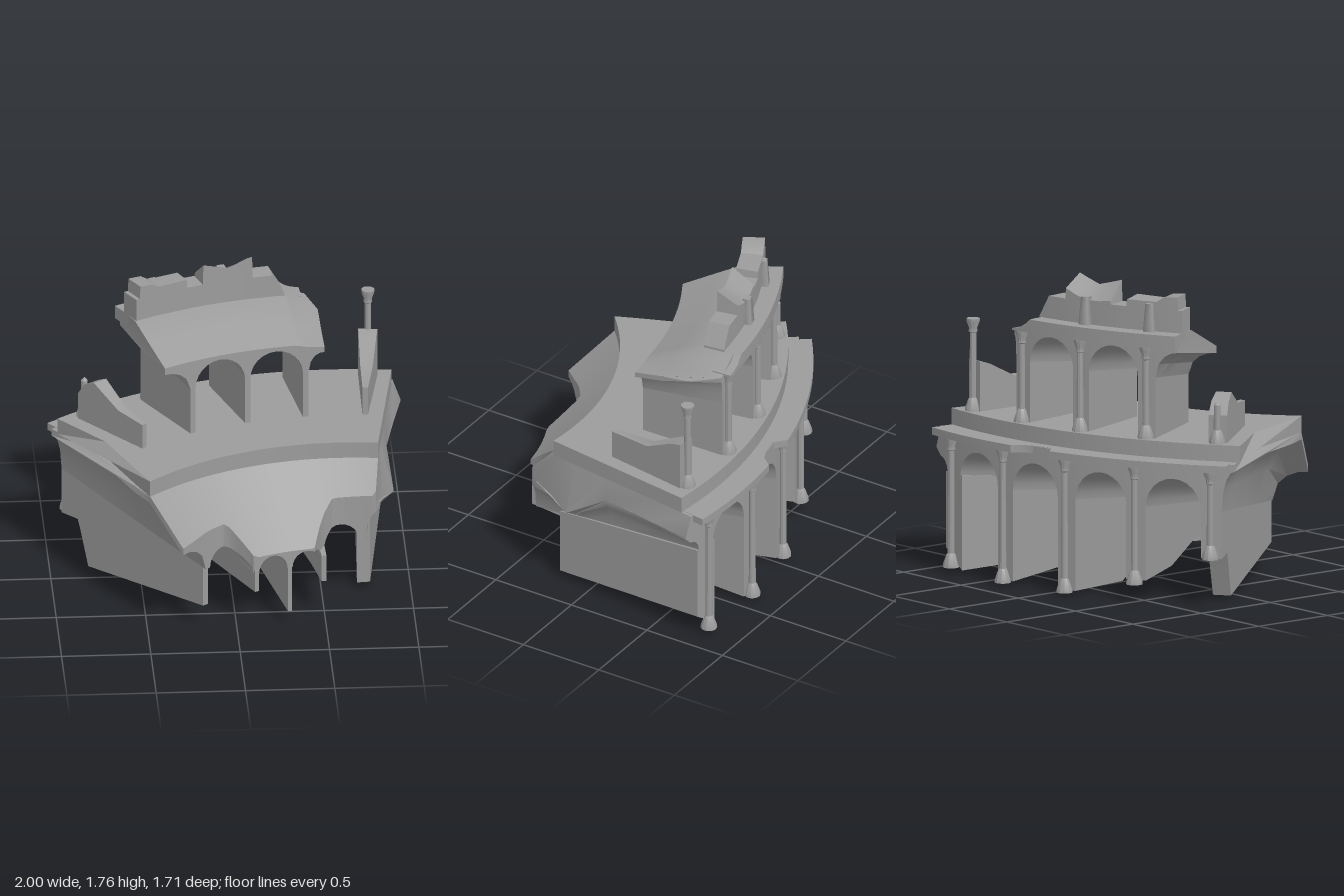
import * as THREE from 'three';
import { toCreasedNormals } from 'three/addons/utils/BufferGeometryUtils.js';

const mat = new THREE.MeshStandardMaterial({ color: 0x9c9c9c, side: THREE.DoubleSide });
const lerp = THREE.MathUtils.lerp;
const DEG = Math.PI / 180;

// Polar layout of the ring: angle in degrees, radius, height
const polar = (a, r, y) => new THREE.Vector3(0.6 - r * Math.sin(a * DEG), y, 1.78 - r * Math.cos(a * DEG));

// Piecewise linear lookup in [[key, value], ...] with rising keys
function table(rows, k) {
  if (k <= rows[0][0]) return rows[0][1];
  for (let i = 1; i < rows.length; i++) {
    const [k0, v0] = rows[i - 1], [k1, v1] = rows[i];
    if (k <= k1) return lerp(v0, v1, (k - k0) / (k1 - k0));
  }
  return rows[rows.length - 1][1];
}

// Solid lofted through outlines of [angle, y, radius]; project flattens an outline for the caps
function loft(name, sections, project) {
  const flat = s => s.map(project);
  if (THREE.ShapeUtils.isClockWise(flat(sections[0]))) sections.forEach(s => s.reverse());
  const rings = sections.map(s => s.map(([a, y, r]) => polar(a, r, y)));
  const pos = [];
  const tri = (...v) => v.forEach(p => pos.push(p.x, p.y, p.z));
  const n = rings[0].length, last = rings.length - 1;
  for (let k = 0; k < last; k++) {
    for (let i = 0; i < n; i++) {
      const j = (i + 1) % n, A = rings[k], B = rings[k + 1];
      tri(A[i], A[j], B[j]);
      tri(A[i], B[j], B[i]);
    }
  }
  const cap = k => THREE.ShapeUtils.triangulateShape(flat(sections[k]), []);
  cap(0).forEach(([a, b, c]) => tri(rings[0][a], rings[0][c], rings[0][b]));
  cap(last).forEach(([a, b, c]) => tri(rings[last][a], rings[last][b], rings[last][c]));
  const geo = new THREE.BufferGeometry();
  geo.setAttribute('position', new THREE.Float32BufferAttribute(pos, 3));
  const mesh = new THREE.Mesh(toCreasedNormals(geo, 0.5), mat);
  mesh.name = name;
  return mesh;
}

// Shell swept around the ring: each column gives its angle, top and bottom along the radii
function shell(name, columns, radii, rAt = (a, k) => radii[k]) {
  const sections = columns.map(col => {
    const top = [], bottom = [];
    radii.forEach((radius, k) => {
      const a = col.a(radius), r = rAt(a, k);
      top.push([a, col.top(a, r), r]);
      bottom.unshift([a, col.bottom(a, r), r]);
    });
    return [...top, ...bottom];
  });
  return loft(name, sections, p => new THREE.Vector2(p[1], p[2]));
}

// Evenly spaced columns between two edges
const band = (n, right, left, top, bottom) => Array.from({ length: n + 1 }, (_, i) => ({
  a: r => lerp(right(r), left(r), i / n), top, bottom: () => bottom }));

// Columns of a row of round vaults between piers, listed from left to right
function vaults(piers, halfWidth, spring, apex, top) {
  const cols = [];
  for (let i = piers.length - 1; i > 0; i--) {
    const mid = (piers[i] + piers[i - 1]) / 2;
    for (let s = 0; s <= 12; s++) {
      const t = s / 12 * Math.PI;
      cols.push({ a: r => mid - (5 - halfWidth(r)) * Math.cos(t), top,
        bottom: (a, r) => lerp(spring(r), apex(r), Math.sin(t)) });
    }
  }
  return cols;
}

// Broken springing of the next vault, from the pier side (0) to the torn edge (1)
const springing = (pierEdge, tornEdge, spring, edgeY, top) => [0, 0.15, 0.4, 0.7, 1].map(t => ({
  a: r => lerp(pierEdge(r), tornEdge(r), t), top,
  bottom: (a, r) => lerp(spring(r), edgeY(a, r), Math.sqrt(1 - (1 - t) ** 2)) }));

// Radial wall; rows are [radius, foot height], lift raises the foot on one side
const radialWall = (name, a, rows, halfWidth, top, lift = 0) => loft(name, rows.map(([r, y]) => {
  const w = halfWidth(r);
  return [[a - w, y + lift * (r - 1.5), r], [a - w, top(r), r], [a + w, top(r), r], [a + w, y, r]];
}), p => new THREE.Vector2(p[0], p[1]));

// Lower storey: sloping broken seating over radial vaults
function lowerStorey(g) {
  const rim = [[-10, 1.5], [-7.5, 1.39], [2, 1.38], [4.8, 1.3], [8, 1.16], [25.5, 1.16], [29.4, 1.34], [35, 1.33], [40, 1.31], [44.4, 1.3]];
  const rightTip = [[1.3, -7.8], [1.56, -9], [1.72, -10.5], [1.95, -8.2], [2.57, -9]];
  const rightTipY = [[1.4, 0.6], [1.72, 0.54], [1.95, 0.68], [2.57, 0.69]];
  const leftEdge = [[1.3, 44.4], [1.56, 44], [1.72, 42.5], [1.95, 40], [2.3, 38], [2.57, 38]];
  const radii = [1.3, 1.56, 1.72, 1.95, 2.3, 2.57];
  const rAt = (a, k) => k ? radii[k] : table(rim, a);
  const hw = r => (0.012 + (r - 1.16) * 0.034) / r / DEG;
  const spring = r => lerp(0.35, 0.54, (r - 1.16) / 1.4);
  const apex = r => lerp(0.44, 0.71, (r - 1.16) / 1.4);
  const top = (a, r) => 0.81 - Math.max(0, 1.56 - r) * 0.9;
  const tipY = (a, r) => table(rightTipY, r);
  g.add(shell('lowerVaults', [
    { a: r => table(rightTip, r), top: tipY, bottom: (a, r) => tipY(a, r) - 0.01 },
    ...springing(r => -5 - hw(r), () => -8, spring, (a, r) => tipY(a, r) - 0.05, top).reverse(),
    ...vaults([35, 25, 15, 5, -5], hw, spring, apex, top),
    ...springing(r => 35 + hw(r), r => table(leftEdge, r), spring, (a, r) => top(a, r) - 0.04, top),
  ], radii, rAt));
  const feet = [
    [35, [[1.35, 0.14], [2.34, 0.02], [2.4, 0.2], [2.43, 0.28], [2.57, 0.27]]],
    [25, [[1.16, 0.24], [1.87, 0.24], [2.2, 0.14], [2.57, 0.12]]],
    [15, [[1.16, 0.08], [1.75, 0.17], [2.09, 0], [2.57, 0.02]]],
    [5, [[1.21, 0.22], [1.56, 0.17], [2.2, 0.05], [2.57, 0.02]]],
    [-5, [[1.57, 0.03], [2.57, 0.02]]]];
  for (const [a, rows] of feet) {
    const width = a < 0 ? r => hw(r) + 0.4 : hw;
    g.add(radialWall('lowerWall', a, rows, width, r => spring(r) + 0.02, a < 0 ? 0.1 : 0));
  }
}

// Upper storey: three walls, two vaults and a sloping roof
function upperStorey(g) {
  const radii = [1.91, 2.08, 2.25, 2.43];
  const part = r => (r - 1.91) / 0.52;
  const hw = r => (0.016 + part(r) * 0.038) / r / DEG;
  const spring = r => lerp(1.18, 1.25, part(r));
  const apex = r => lerp(1.325, 1.41, part(r));
  // the right-hand corner has crumbled
  const top = (a, r) => lerp(1.35, 1.5, Math.min(1, (r - 1.91) / 0.34))
    - table([[1.8, 0.1], [4.5, 0.07], [6.8, 0]], a) * Math.min(1, 0.2 + part(r) * 1.5);
  const rightEdge = r => table([[1.91, 1.8], [2.25, 2], [2.43, 3.4]], r);
  const leftEdge = r => lerp(30.5, 29.4, part(r));
  const edgeY = (a, r) => lerp(1.31, 1.4, part(r));
  g.add(shell('upperVaults', [
    ...springing(r => 5 - hw(r), rightEdge, spring, (a, r) => top(a, r) - 0.03, top).reverse(),
    ...vaults([25, 15, 5], hw, spring, apex, top),
    ...springing(r => 25 + hw(r), leftEdge, spring, edgeY, top),
  ], radii));
  for (const a of [25, 15, 5]) {
    g.add(radialWall('upperWall', a, radii.map(r => [r, 0.89]), hw, r => spring(r) + 0.02));
  }
}

// Broken wall on the deck, rows are [radius, height]
function brokenWall(a, rows) {
  const hw = r => (0.015 + Math.max(0, r - 1.91) * 0.075) / r / DEG;
  return radialWall('brokenWall', a, rows.map(([r]) => [r, 0.89]), hw, r => table(rows, r));
}

// Slender column with flared base and capital
function column(name, a, r, y0, y1, broken = false) {
  const p = [[0.001, y0], [0.047, y0], [0.045, y0 + 0.02], [0.027, y0 + 0.07], [0.02, y0 + 0.08]];
  if (broken) p.push([0.019, y1 - 0.02], [0.001, y1]);
  else p.push([0.018, y1 - 0.08], [0.025, y1 - 0.075], [0.023, y1 - 0.055], [0.038, y1 - 0.015], [0.038, y1], [0.001, y1]);
  const geo = toCreasedNormals(new THREE.LatheGeometry(p.map(q => new THREE.Vector2(...q)), 10), 0.5);
  const mesh = new THREE.Mesh(geo, mat);
  mesh.position.copy(polar(a, r, 0));
  mesh.rotation.y = a * DEG;
  mesh.name = name;
  return mesh;
}

export function createModel() {
  const g = new THREE.Group();
  g.name = 'ruinedArcade';
  lowerStorey(g);
  upperStorey(g);

  // Deck and the chipped cornice below it
  const deckEnd = r => table([[1.56, 44], [1.72, 42], [2.1, 38.3], [2.5, 38.4]], r);
  g.add(shell('deck', band(24, () => -8, deckEnd, () => 0.905, 0.81), [1.56, 1.72, 2.1, 2.5]));
  const chip = a => table([[7.5, 2.64], [9, 2.57], [12.5, 2.56], [13.2, 2.64]], a);
  g.add(shell('lowerCornice', band(36, () => -7.6, () => 37.3, () => 0.812, 0.77), [2.4, 2.64],
    (a, k) => k ? chip(a) : 2.4));

  // Upper cornice, crumbling at the right
  const corniceTop = a => table([[4, 1.435], [6, 1.45], [6.8, 1.502]], a);
  g.add(shell('upperCornice', band(24, () => 4, () => 29.5, corniceTop, 1.425), [2.36, 2.475]));

  // Attic with broken crest, rows are [angle, inner top, outer top]
  const crest = [[6.8, 1.51, 1.51], [8.5, 1.63, 1.63], [11.4, 1.63, 1.63], [11.5, 1.76, 1.69], [13.2, 1.735, 1.66],
    [15, 1.71, 1.64], [17, 1.73, 1.64], [18.8, 1.75, 1.65], [18.9, 1.63, 1.63], [21.3, 1.63, 1.63],
    [21.4, 1.68, 1.67], [25.8, 1.675, 1.67], [27, 1.7, 1.7], [28.9, 1.705, 1.705], [29, 1.63, 1.63], [29.6, 1.63, 1.63]];
  g.add(shell('attic', crest.map(([a, yIn, yOut]) => ({
    a: () => a, top: (_, r) => r < 2.3 ? yIn : yOut, bottom: () => 1.45 })), [2.25, 2.375]));
  for (const a of [25, 15]) {
    const post = new THREE.Mesh(new THREE.CylinderGeometry(0.03, 0.045, 0.16, 4, 1).rotateY(Math.PI / 4), mat);
    post.position.copy(polar(a, 2.38, 1.58));
    post.rotation.y = a * DEG;
    post.name = 'atticPost';
    g.add(post);
  }

  // Wall remnants at both ends of the deck
  g.add(brokenWall(35, [[1.9, 1.05], [2.1, 1.07], [2.3, 1.17], [2.38, 1.13], [2.43, 1.06]]));
  g.add(brokenWall(-5, [[1.92, 1.07], [2.18, 1.08], [2.36, 1.17], [2.43, 1.19]]));

  // Columns of both storeys: angle, lower foot, upper top
  for (const [a, foot, head] of [[35, 0.27, 1.14], [25, 0.1, 1.43], [15, 0.01, 1.43], [5, 0.01, 1.43], [-5, 0.03, 1.43]]) {
    g.add(column('lowerColumn', a, 2.59, foot, 0.775));
    g.add(column('upperColumn', a, 2.44, 0.9, head, a === 35));
  }
  return g;
}
